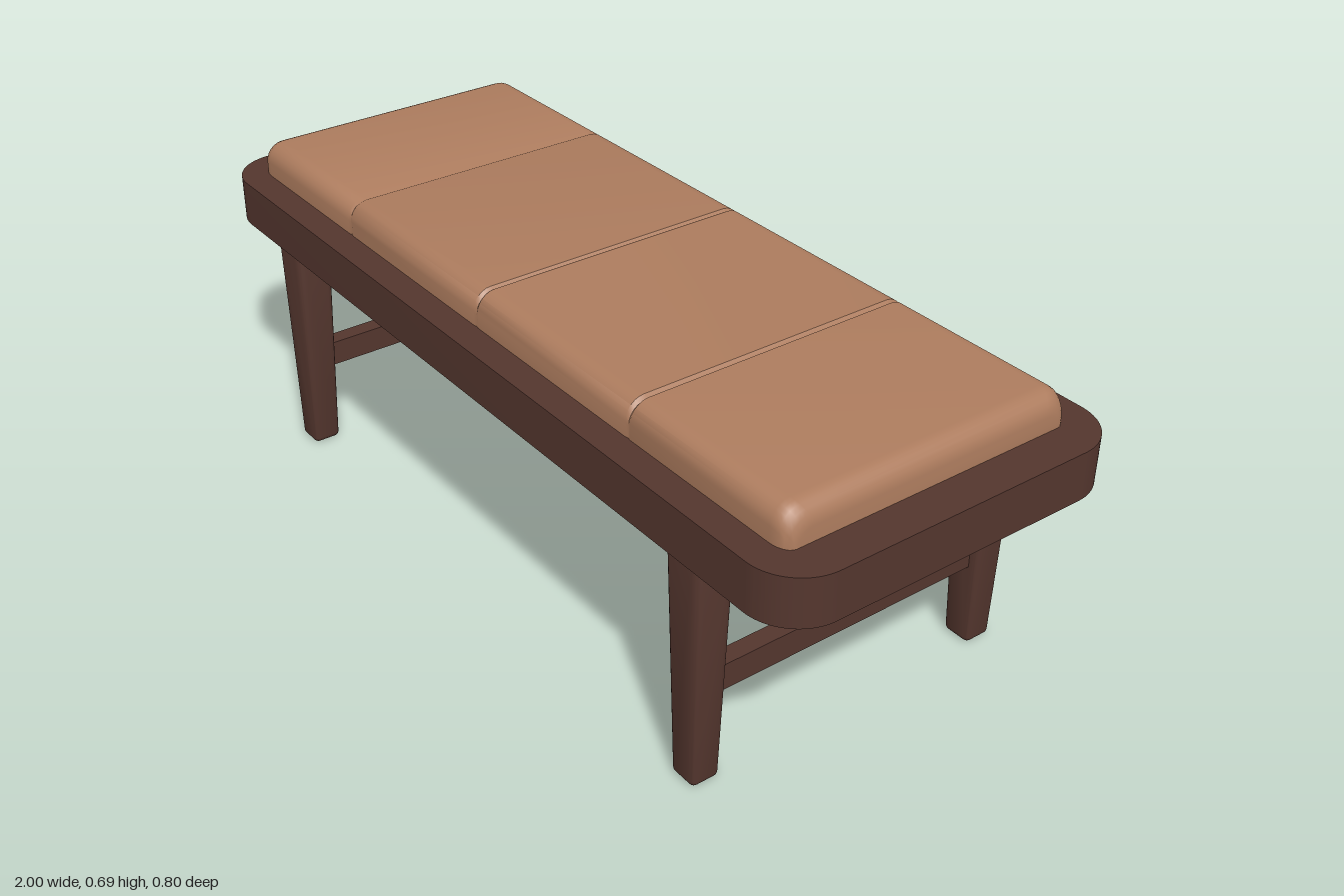
import * as THREE from 'three';
import { toCreasedNormals } from 'three/addons/utils/BufferGeometryUtils.js';
import { RoundedBoxGeometry } from 'three/addons/geometries/RoundedBoxGeometry.js';

const wood = new THREE.MeshStandardMaterial({ color: 0x54362e });
wood.name = 'dark wood';
const leather = new THREE.MeshStandardMaterial({ color: 0xad7c5e });
leather.name = 'tan leather';

function add(parent, name, geometry, material) {
  const mesh = new THREE.Mesh(geometry, material);
  mesh.name = name;
  parent.add(mesh);
  return mesh;
}

// Slab with rounded plan corners
function frameGeometry(hx, hz, r, y0, y1) {
  const s = new THREE.Shape();
  s.absarc(hx - r, hz - r, r, 0, Math.PI / 2);
  s.absarc(-hx + r, hz - r, r, Math.PI / 2, Math.PI);
  s.absarc(-hx + r, -hz + r, r, Math.PI, Math.PI * 1.5);
  s.absarc(hx - r, -hz + r, r, Math.PI * 1.5, Math.PI * 2);
  s.closePath();
  const g = new THREE.ExtrudeGeometry(s, { depth: y1 - y0, bevelEnabled: false, curveSegments: 12 });
  g.rotateX(-Math.PI / 2).translate(0, y0, 0);
  return toCreasedNormals(g, 0.6);
}

// Softly rounded leg, widening towards the top
function legGeometry(height) {
  const g = new RoundedBoxGeometry(0.066, height, 0.064, 3, 0.012);
  g.translate(0, height / 2, 0);
  const p = g.attributes.position;
  for (let i = 0; i < p.count; i++) {
    const t = p.getY(i) / 0.505;
    p.setX(i, p.getX(i) * (1 + 0.47 * t) - 0.005 * t);
    p.setZ(i, p.getZ(i) * (1 + 0.34 * t) - 0.002 * t);
  }
  return toCreasedNormals(g, 0.6);
}

// Cushion lofted along x, with rounded ends and narrow sewn grooves
function cushionGeometry() {
  const x0 = -0.935, x1 = 0.915, base = 0.605, top = 0.685, W = 0.336, r = 0.042, n = 6;
  const stations = [];
  for (let i = 0; i <= n; i++) {
    const a = (i / n) * Math.PI / 2;
    const drop = r * (1 - Math.sin(a));
    stations.push([x0 + r * (1 - Math.cos(a)), drop, drop * 0.6]);
    stations.push([x1 - r * (1 - Math.cos(a)), drop, drop * 0.6]);
  }
  for (const s of [-0.52, -0.018, 0.484]) {
    const depth = s < -0.5 ? 0.003 : 0.007;
    stations.push([s - 0.007, 0, 0], [s, depth, 0.002], [s + 0.007, 0, 0]);
  }
  stations.sort((a, b) => a[0] - b[0]);

  const pos = [], idx = [], m = 2 * (n + 1) + 2;
  for (const [x, drop, inset] of stations) {
    const w = W - inset, h = top - drop;
    const rr = Math.min(r, h - base - 0.005);
    pos.push(x, base, w);
    for (const side of [1, -1]) {
      for (let i = 0; i <= n; i++) {
        const a = ((side > 0 ? i : n - i) / n) * Math.PI / 2;
        pos.push(x, h - rr + rr * Math.sin(a), side * (w - rr + rr * Math.cos(a)));
      }
    }
    pos.push(x, base, -w);
  }
  for (let s = 0; s < stations.length - 1; s++) {
    for (let j = 0; j < m; j++) {
      const k = (j + 1) % m;
      const a = s * m + j, b = s * m + k, c = a + m, d = b + m;
      idx.push(a, c, b, b, c, d);
    }
  }
  // End caps
  const last = (stations.length - 1) * m;
  for (let j = 1; j < m - 1; j++) {
    idx.push(0, j, j + 1);
    idx.push(last, last + j + 1, last + j);
  }
  const g = new THREE.BufferGeometry();
  g.setAttribute('position', new THREE.Float32BufferAttribute(pos, 3));
  g.setIndex(idx);
  return toCreasedNormals(g, 0.7);
}

export function createModel() {
  const bench = new THREE.Group();
  bench.name = 'bench';

  add(bench, 'seatFrame', frameGeometry(1, 0.4, 0.11, 0.506, 0.61), wood);
  add(bench, 'cushion', cushionGeometry(), leather);

  // Legs, mirrored to the four corners
  const leg = legGeometry(0.55);
  for (const sx of [1, -1]) {
    const side = sx > 0 ? 'left' : 'right';
    for (const sz of [1, -1]) {
      const mesh = add(bench, side + (sz > 0 ? 'FrontLeg' : 'BackLeg'), leg, wood);
      // A half turn plus a mirrored copy keeps the taper facing inwards
      if (sx * sz < 0) {
        const mirrored = leg.clone().scale(-1, 1, 1);
        const { position, normal } = mirrored.attributes;
        for (const at of [position, normal]) {
          for (let i = 0; i < at.count; i += 3) {
            const a = [at.getX(i), at.getY(i), at.getZ(i)];
            at.setXYZ(i, at.getX(i + 1), at.getY(i + 1), at.getZ(i + 1));
            at.setXYZ(i + 1, ...a);
          }
        }
        mesh.geometry = mirrored;
      }
      mesh.rotation.y = sz > 0 ? 0 : Math.PI;
      mesh.position.set(sx * 0.724, 0, sz * 0.355);
    }
    // Stretcher between front and back leg
    const stretcher = add(bench, side + 'Stretcher', new THREE.BoxGeometry(0.04, 0.058, 0.68), wood);
    stretcher.position.set(sx * 0.722, 0.219, 0);
  }
  return bench;
}
